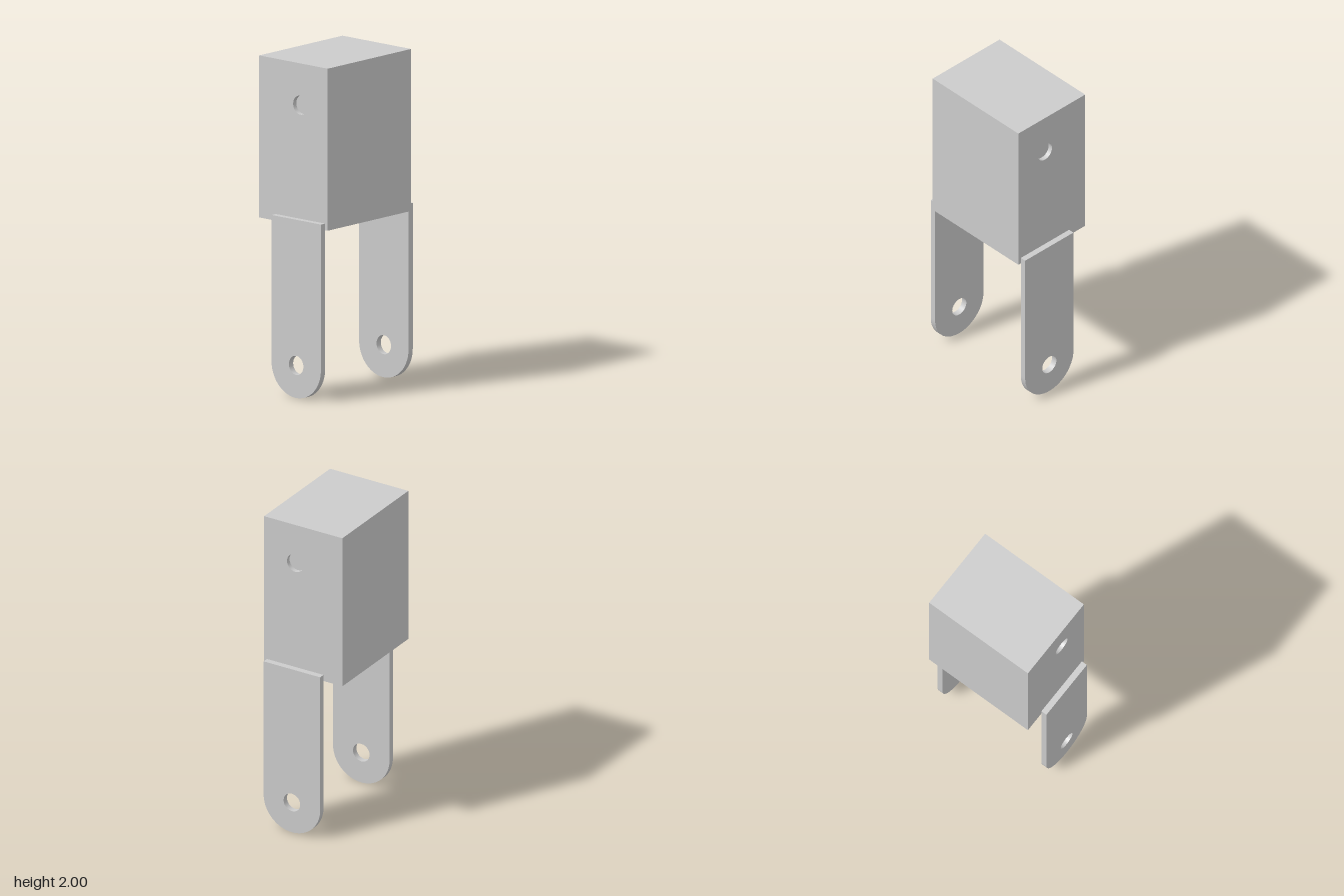
import * as THREE from 'three';

const AXIS_X = 0.055;   // holes and legs sit slightly off the block's centre
const HOLE_R = 0.057;
const BLOCK = { w: 0.54, bottom: 1.03, top: 2, d: 0.726 };
const LEG = { r: 0.195, pivotY: 0.198, top: 1.07, t: 0.037 };
const RECESS = 0.028;

const material = new THREE.MeshStandardMaterial({ color: 0xcccccc });

function part(name, geometry, mat = material) {
  const mesh = new THREE.Mesh(geometry, mat);
  mesh.name = name;
  return mesh;
}

function addHole(shape, x, y) {
  shape.holes.push(new THREE.Path().absarc(x, y, HOLE_R, 0, Math.PI * 2, true));
  return shape;
}

// Leg strap: square top, round end with a pivot hole
function legGeometry() {
  const { r, pivotY, top, t } = LEG;
  const shape = new THREE.Shape();
  shape.moveTo(r, top);
  shape.lineTo(-r, top);
  shape.lineTo(-r, pivotY);
  shape.absarc(0, pivotY, r, Math.PI, Math.PI * 2, false);
  shape.closePath();
  addHole(shape, 0, pivotY);
  return new THREE.ExtrudeGeometry(shape, { depth: t, bevelEnabled: false, curveSegments: 32 });
}

// Flat end face of the block with a round opening
function endFaceGeometry(holeX, holeY) {
  const { w, bottom, top } = BLOCK;
  const shape = new THREE.Shape();
  shape.moveTo(-w / 2, bottom);
  shape.lineTo(w / 2, bottom);
  shape.lineTo(w / 2, top);
  shape.lineTo(-w / 2, top);
  shape.closePath();
  return new THREE.ShapeGeometry(addHole(shape, holeX, holeY), 32);
}

export function createModel() {
  const model = new THREE.Group();
  model.name = 'clevisBlock';
  const { w, bottom, top, d } = BLOCK;
  const holeY = 1.75;

  // Block sides, top and bottom; the two end faces are added below
  const sides = new THREE.BoxGeometry(w, top - bottom, d);
  sides.setIndex(Array.from(sides.index.array.slice(0, 24)));
  sides.clearGroups();
  sides.translate(0, (top + bottom) / 2, 0);
  model.add(part('blockSides', sides));

  const inside = material.clone();
  inside.side = THREE.BackSide;

  // Front end, and the same turned around for the back
  for (const [label, dir] of [['front', 1], ['back', -1]]) {
    const end = new THREE.Group();
    end.name = label + 'End';
    end.rotation.y = dir > 0 ? 0 : Math.PI;
    const x = AXIS_X * dir;

    const face = part(label + 'Face', endFaceGeometry(x, holeY));
    face.position.z = d / 2;

    // Shallow blind hole
    const wall = part(label + 'RecessWall',
      new THREE.CylinderGeometry(HOLE_R, HOLE_R, RECESS, 64, 1, true).rotateX(Math.PI / 2), inside);
    wall.position.set(x, holeY, d / 2 - RECESS / 2);
    const floor = part(label + 'RecessFloor', new THREE.CircleGeometry(HOLE_R, 64));
    floor.position.set(x, holeY, d / 2 - RECESS);

    const leg = part(label + 'Leg', legGeometry());
    leg.position.set(x, 0, d / 2);

    end.add(face, wall, floor, leg);
    model.add(end);
  }
  return model;
}
